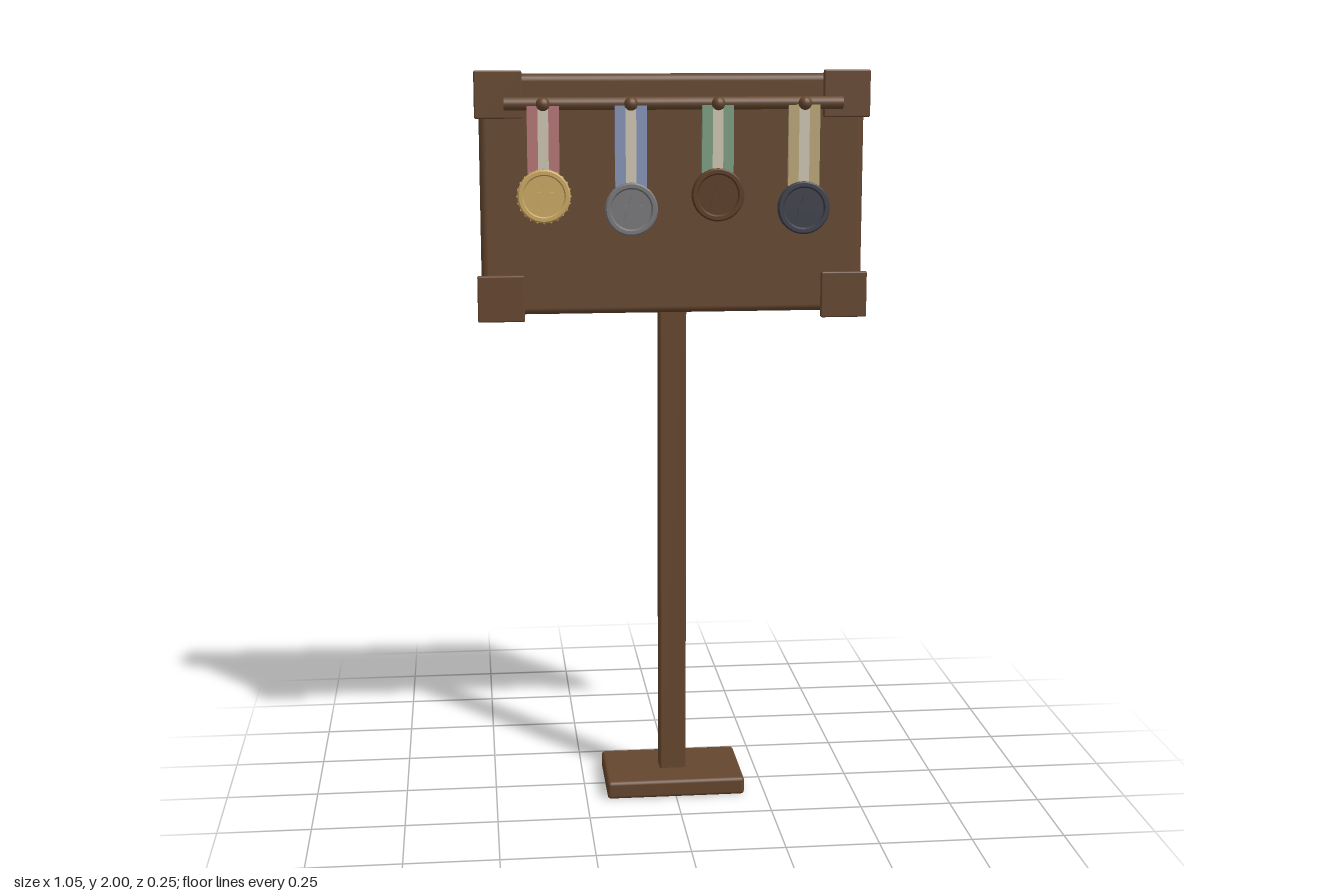
import * as THREE from 'three';
import { RoundedBoxGeometry } from 'three/addons/geometries/RoundedBoxGeometry.js';

function makeMaterial(name, color) {
  const m = new THREE.MeshStandardMaterial({ color });
  m.name = name;
  return m;
}

// Star or scalloped outline alternating between two radii
function zigzagShape(points, outer, inner) {
  const shape = new THREE.Shape();
  for (let i = 0; i < points * 2; i++) {
    const r = i % 2 ? inner : outer;
    const a = Math.PI / 2 + (i * Math.PI) / points;
    if (i) shape.lineTo(r * Math.cos(a), r * Math.sin(a));
    else shape.moveTo(r * Math.cos(a), r * Math.sin(a));
  }
  shape.closePath();
  return shape;
}

export function createModel() {
  const root = new THREE.Group();
  root.name = 'medalStand';

  const wood = makeMaterial('wood', 0x65462e);
  const cream = makeMaterial('creamRibbon', 0xcdc4b0);

  function add(parent, name, geometry, material, x = 0, y = 0, z = 0) {
    const mesh = new THREE.Mesh(geometry, material);
    mesh.name = name;
    mesh.position.set(x, y, z);
    parent.add(mesh);
    return mesh;
  }

  // Base, post and display board
  add(root, 'base', new RoundedBoxGeometry(0.384, 0.05, 0.254, 2, 0.01), wood, 0, 0.025, 0);
  add(root, 'post', new RoundedBoxGeometry(0.074, 1.36, 0.062, 2, 0.006), wood, 0, 0.72, 0);
  add(root, 'board', new RoundedBoxGeometry(1.026, 0.635, 0.071, 3, 0.018), wood, 0, 1.6725, 0.01);

  // Corner plates
  for (const sx of [-1, 1]) {
    for (const y of [1.938, 1.401]) {
      add(root, 'cornerPlate', new RoundedBoxGeometry(0.125, 0.124, 0.018, 2, 0.004), wood, sx * 0.4625, y, 0.054);
    }
  }

  // Hanging rail
  const rail = add(root, 'rail', new THREE.CylinderGeometry(0.017, 0.017, 0.896, 16), wood, 0, 1.915, 0.073);
  rail.rotation.z = Math.PI / 2;

  // Medals: disc, raised rim, star, striped ribbon and rail knob
  const medals = [
    { name: 'gold', metal: 0xc9a862, ribbon: 0xb57476, y: 1.676, scalloped: true },
    { name: 'silver', metal: 0x77777b, ribbon: 0x8493b6, y: 1.64 },
    { name: 'bronze', metal: 0x5b3b23, ribbon: 0x7b9e80, y: 1.676 },
    { name: 'dark', metal: 0x3d3f4a, ribbon: 0xb9a577, y: 1.64 },
  ];
  const starGeometry = new THREE.ExtrudeGeometry(zigzagShape(5, 0.035, 0.0145), { depth: 0.006, bevelEnabled: false });
  const scallopGeometry = new THREE.ExtrudeGeometry(zigzagShape(24, 0.073, 0.066), { depth: 0.011, bevelEnabled: false });

  // Disc profile with a raised rim around a recessed face
  const profile = [
    [0, 0], [0.066, 0], [0.07, 0.004], [0.07, 0.014], [0.066, 0.018],
    [0.057, 0.018], [0.053, 0.013], [0, 0.013],
  ].map(([r, h]) => new THREE.Vector2(r, h));
  const discGeometry = new THREE.LatheGeometry(profile, 40).toNonIndexed();
  discGeometry.computeVertexNormals();
  discGeometry.rotateX(Math.PI / 2);

  medals.forEach((spec, i) => {
    const x = -0.347 + i * 0.23;
    const metal = makeMaterial(spec.name + 'Metal', spec.metal);
    const cloth = makeMaterial(spec.name + 'Ribbon', spec.ribbon);
    const medal = new THREE.Group();
    medal.name = spec.name + 'Medal';
    medal.position.set(x, 0, 0);
    root.add(medal);

    add(medal, 'disc', discGeometry, metal, 0, spec.y, 0.087);
    add(medal, 'star', starGeometry, metal, 0, spec.y, 0.099);
    if (spec.scalloped) add(medal, 'scallopedEdge', scallopGeometry, metal, 0, spec.y, 0.09);

    // Three ribbon stripes side by side
    const top = 1.91;
    const bottom = spec.y + 0.058;
    const stripe = new THREE.BoxGeometry(0.028, top - bottom, 0.012);
    for (const s of [-1, 0, 1]) {
      add(medal, 'ribbonStripe', stripe, s ? cloth : cream, s * 0.028, (top + bottom) / 2, 0.087);
    }

    add(medal, 'railKnob', new THREE.SphereGeometry(0.018, 16, 12), wood, 0, 1.915, 0.1);
  });

  return root;
}
